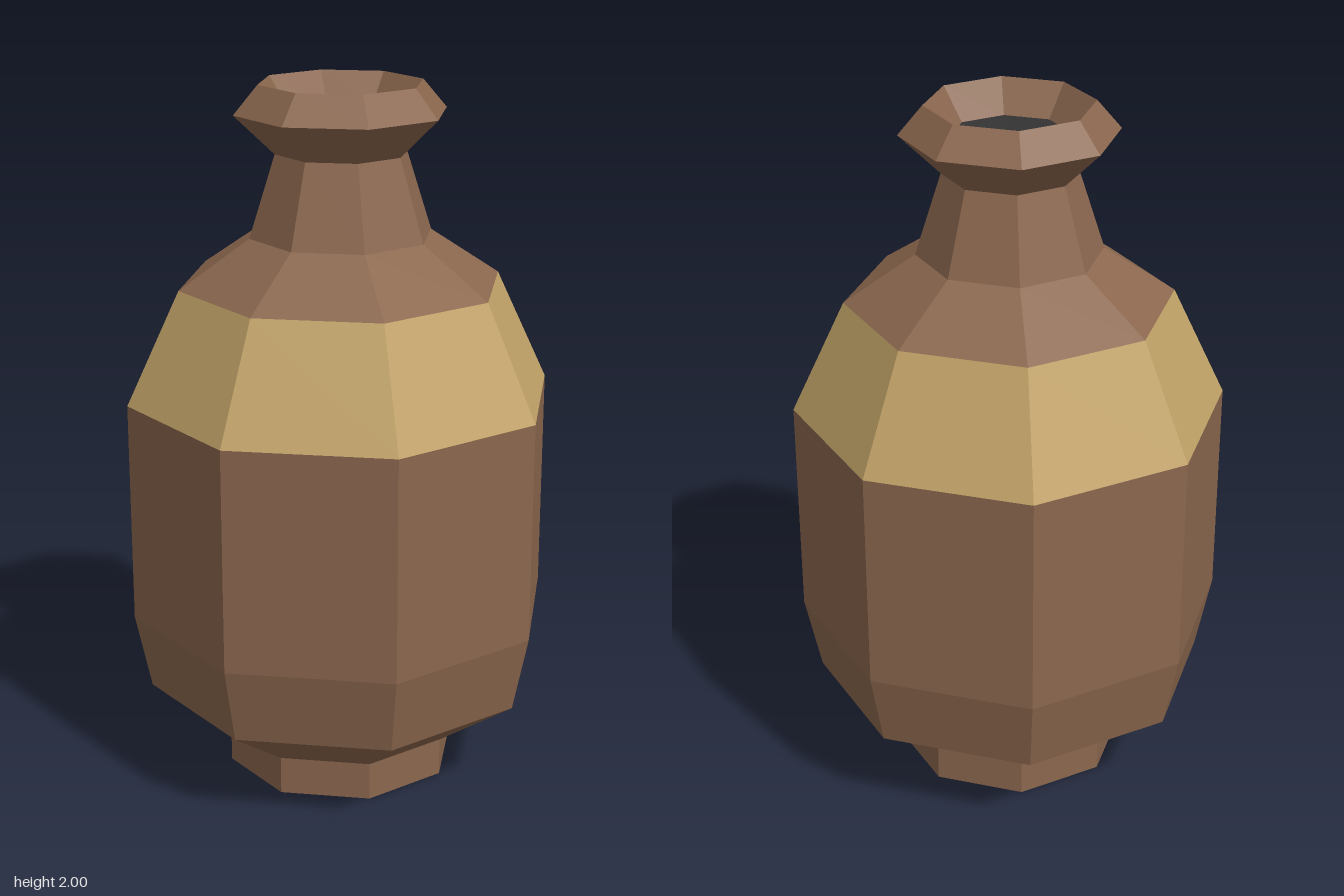
import * as THREE from 'three';

const SIDES = 8;
const toCorner = 1 / Math.cos(Math.PI / SIDES); // flat-to-centre distance -> corner radius

// Faceted eight-sided ring surface from [flat distance, height] pairs
function facetedBand(name, profile, material) {
  const points = profile.map(([r, y]) => new THREE.Vector2(r * toCorner, y));
  const geometry = new THREE.LatheGeometry(points, SIDES, Math.PI / SIDES).toNonIndexed();
  geometry.computeVertexNormals();
  const mesh = new THREE.Mesh(geometry, material);
  mesh.name = name;
  return mesh;
}

export function createModel() {
  const clay = new THREE.MeshStandardMaterial({ color: 0x8b674e });
  clay.name = 'brown clay';
  const glaze = new THREE.MeshStandardMaterial({ color: 0xc2a368 });
  glaze.name = 'ochre band';
  const dark = new THREE.MeshStandardMaterial({ color: 0x333333 });
  dark.name = 'dark inside';

  const vase = new THREE.Group();
  vase.name = 'vase';
  vase.add(
    // closed underside and straight foot
    facetedBand('foot', [[0, 0], [0.31, 0], [0.31, 0.11]], clay),
    // belly widening from the foot to the band
    facetedBand('body', [[0.31, 0.11], [0.523, 0.27], [0.565, 0.49], [0.565, 1.125]], clay),
    // painted sloping band
    facetedBand('shoulderBand', [[0.565, 1.125], [0.425, 1.445]], glaze),
    facetedBand('shoulder', [[0.425, 1.445], [0.24, 1.58]], clay),
    facetedBand('neck', [[0.24, 1.58], [0.172, 1.81]], clay),
    // flared lip, folding over into the mouth
    facetedBand('lip', [[0.172, 1.81], [0.277, 1.92], [0.214, 2], [0.155, 1.91]], clay),
    // shallow dished surface in the mouth
    facetedBand('mouth', [[0.155, 1.91], [0, 1.89]], dark)
  );
  return vase;
}
